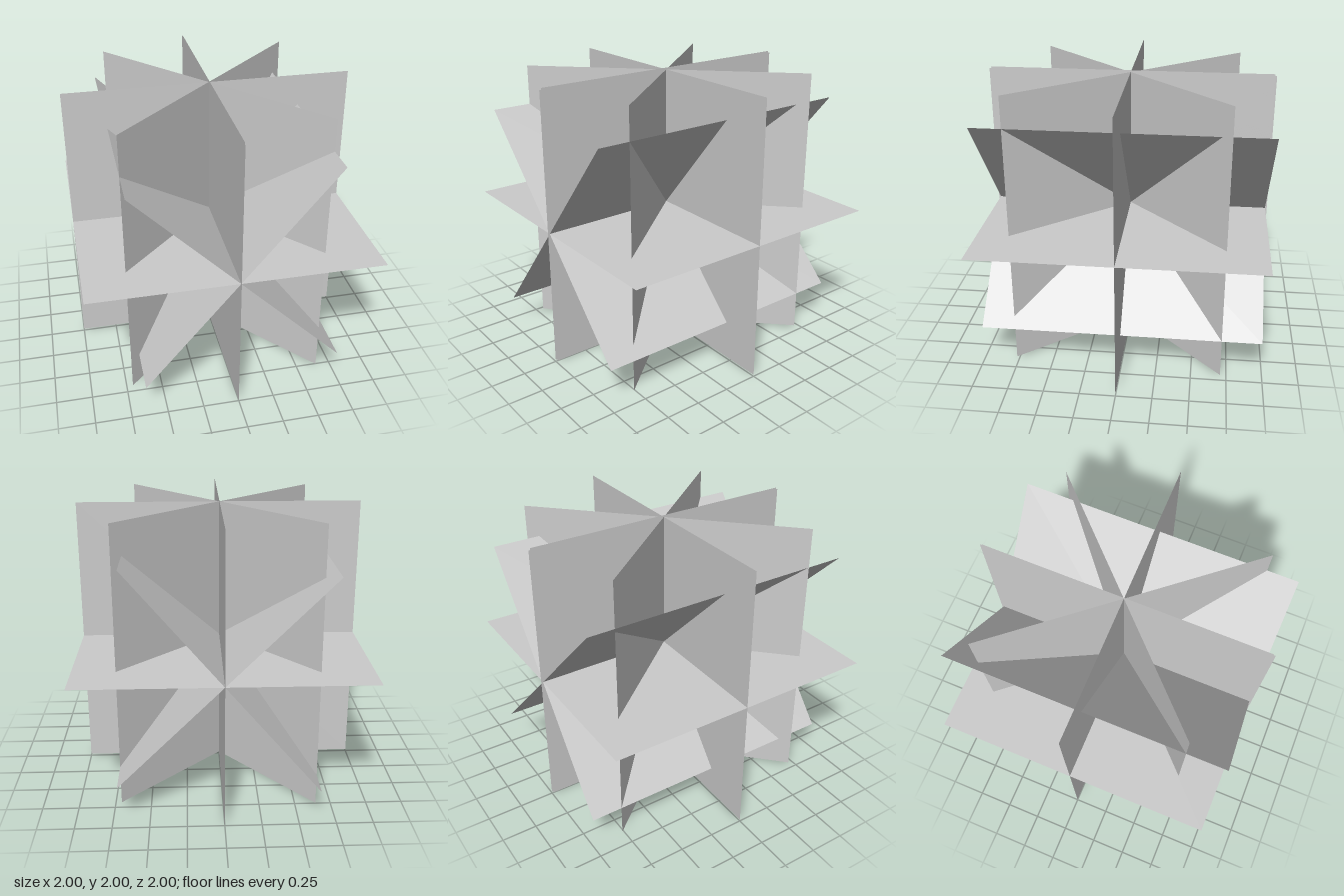
import * as THREE from 'three';

const WIDTH = 2;         // across the shared axis
const LENGTH = 1.974;    // along the shared axis
const ANGLES = [0, 90, 45, -50]; // degrees about the shared axis

const material = new THREE.MeshStandardMaterial({
  color: 0xcccccc, flatShading: true, side: THREE.DoubleSide,
});

// Four flat cards crossing along the local y axis
function createFan(name) {
  const fan = new THREE.Group();
  fan.name = name;
  const geometry = new THREE.PlaneGeometry(WIDTH, LENGTH);
  ANGLES.forEach((angle, i) => {
    const card = new THREE.Mesh(geometry, material);
    card.name = `${name}Card${i + 1}`;
    card.rotation.y = THREE.MathUtils.degToRad(angle);
    fan.add(card);
  });
  fan.position.y = 1;
  return fan;
}

export function createModel() {
  const model = new THREE.Group();
  model.name = 'crossedCards';

  // Cards standing around the vertical axis
  model.add(createFan('verticalFan'));

  // The same fan laid along the front-to-back axis
  const lying = createFan('horizontalFan');
  lying.rotation.x = -Math.PI / 2;
  model.add(lying);

  return model;
}
